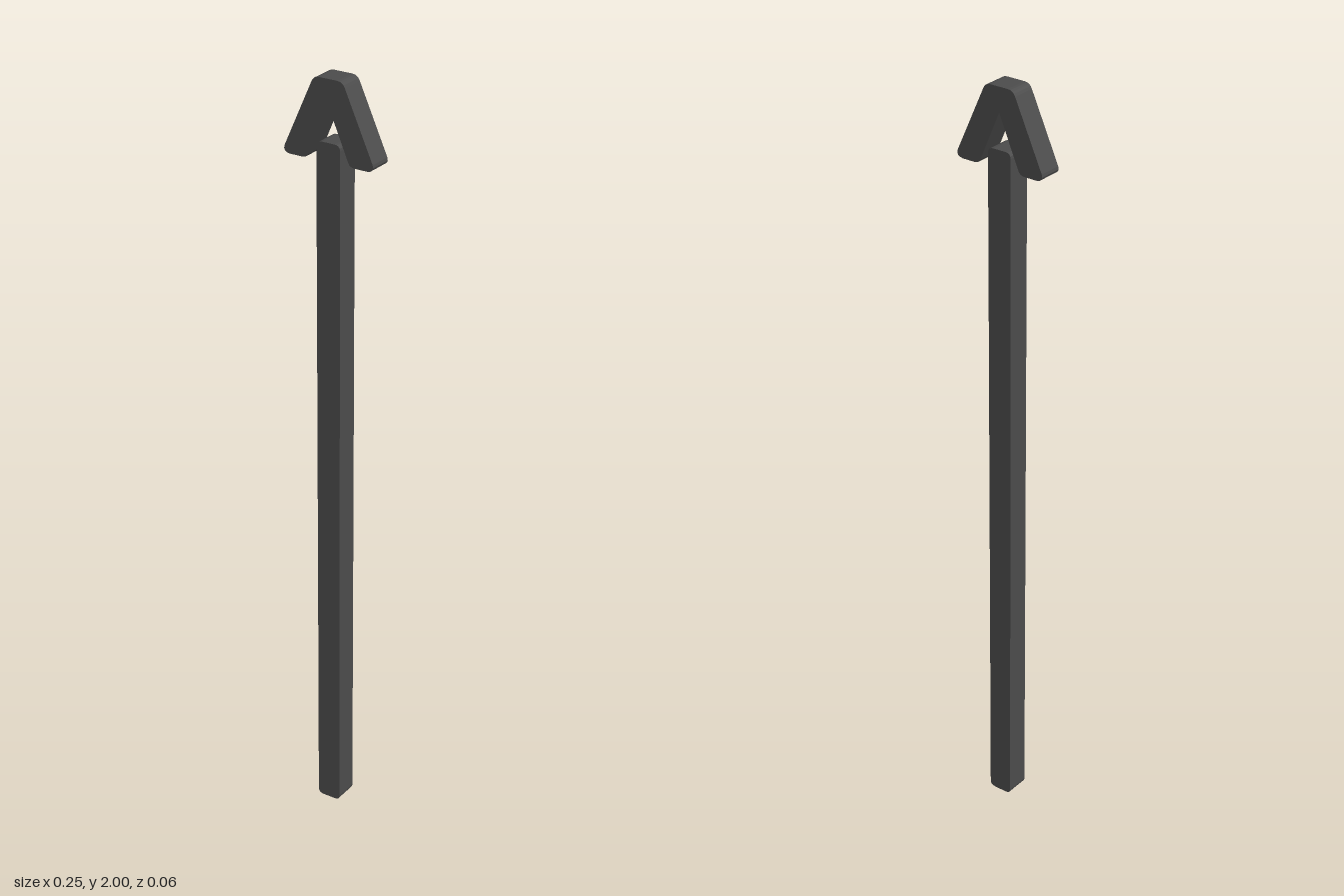
import * as THREE from 'three';

const DEPTH = 0.063;
const material = new THREE.MeshStandardMaterial({ color: 0x4d4d4d });

// Extrudes an outline, given as its right half from bottom to top, mirrored in x
function mirroredBar(name, shape) {
  const geometry = new THREE.ExtrudeGeometry(shape, { depth: DEPTH, bevelEnabled: false, curveSegments: 4 });
  geometry.translate(0, 0, -DEPTH / 2);
  const mesh = new THREE.Mesh(geometry, material);
  mesh.name = name;
  return mesh;
}

// Upright bar with softened ends
function shaftShape(w, h, rx, ry) {
  const s = new THREE.Shape();
  s.moveTo(-w + rx, 0);
  s.lineTo(w - rx, 0);
  s.quadraticCurveTo(w, 0, w, ry);
  s.lineTo(w, h / 2);
  s.lineTo(w, h - ry);
  s.quadraticCurveTo(w, h, w - rx, h);
  s.lineTo(-w + rx, h);
  s.quadraticCurveTo(-w, h, -w, h - ry);
  s.lineTo(-w, h / 2);
  s.lineTo(-w, ry);
  s.quadraticCurveTo(-w, 0, -w + rx, 0);
  return s;
}

// Chevron with a blunt tip and softened feet
function headShape() {
  const s = new THREE.Shape();
  s.moveTo(0, 1.937);
  s.lineTo(0.056, 1.807);
  s.quadraticCurveTo(0.06, 1.797, 0.075, 1.797);
  s.lineTo(0.108, 1.797);
  s.quadraticCurveTo(0.129, 1.799, 0.123, 1.816);
  s.lineTo(0.046, 1.986);
  s.quadraticCurveTo(0.04, 2, 0.025, 2);
  s.lineTo(-0.025, 2);
  s.quadraticCurveTo(-0.04, 2, -0.046, 1.986);
  s.lineTo(-0.123, 1.816);
  s.quadraticCurveTo(-0.129, 1.799, -0.108, 1.797);
  s.lineTo(-0.075, 1.797);
  s.quadraticCurveTo(-0.06, 1.797, -0.056, 1.807);
  s.closePath();
  return s;
}

export function createModel() {
  const arrow = new THREE.Group();
  arrow.name = 'arrow';
  arrow.add(mirroredBar('shaft', shaftShape(0.033, 1.845, 0.016, 0.014)));
  arrow.add(mirroredBar('arrowHead', headShape()));
  return arrow;
}
